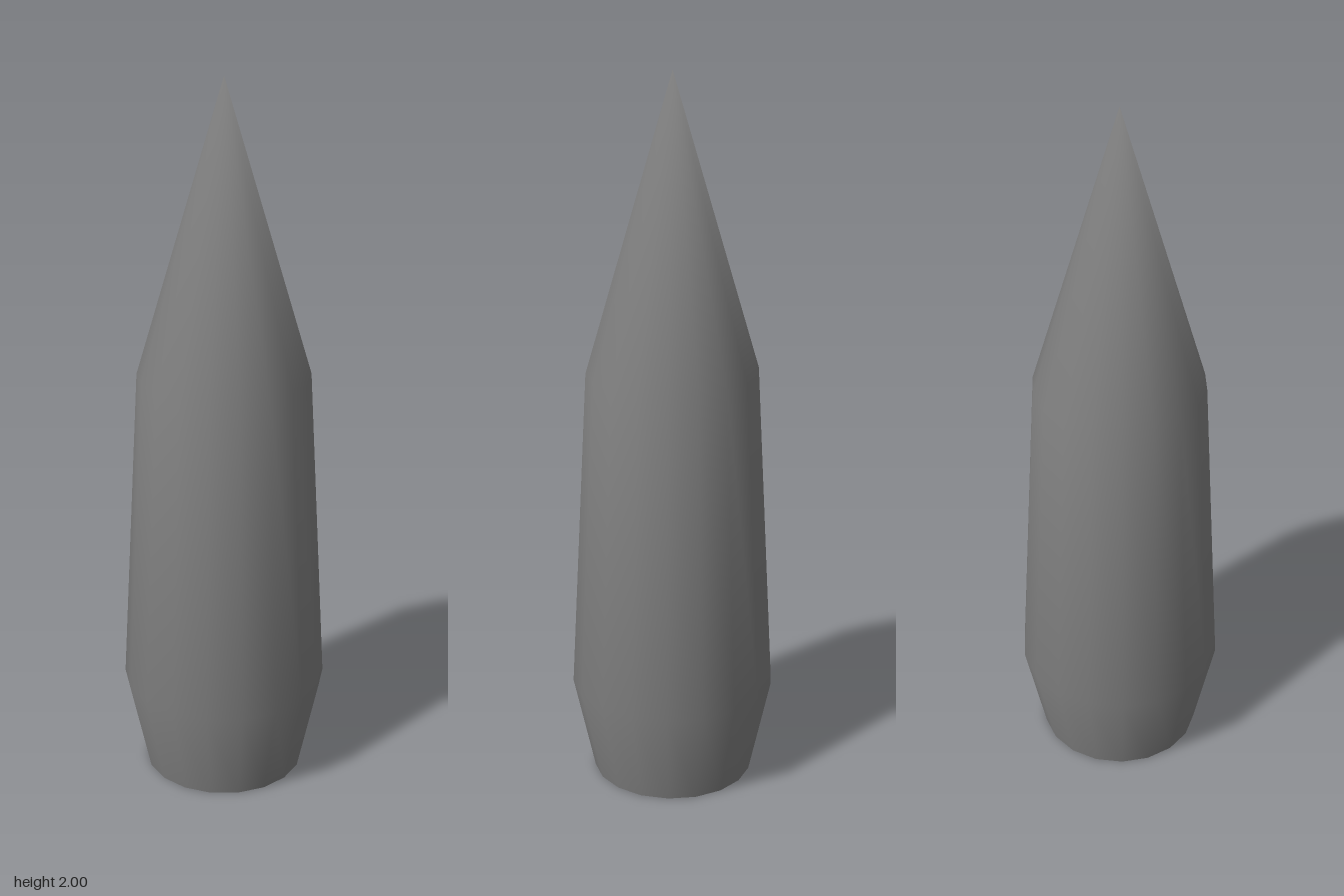
import * as THREE from 'three';

const SIDES = 18;

// Revolve a [radius, height] profile, with equally weighted smooth normals and an upright tip normal
function smoothLathe(profile) {
  const points = profile.map(([r, y]) => new THREE.Vector2(r, y));
  const last = points.length - 1;
  const slopes = points.slice(1).map((p, j) => {
    const d = p.clone().sub(points[j]).normalize();
    return new THREE.Vector2(d.y, -d.x);
  });
  const normals = points.map((p, j) => {
    if (j === last) return new THREE.Vector2(0, 1);
    return slopes[Math.max(j - 1, 0)].clone().add(slopes[j]).normalize();
  });

  const start = Math.PI / 2;
  const lathe = new THREE.LatheGeometry(points, SIDES, start);
  for (let i = 0; i <= SIDES; i++) {
    const angle = start + (i / SIDES) * Math.PI * 2;
    normals.forEach((n, j) => {
      lathe.attributes.normal.setXYZ(i * points.length + j, n.x * Math.sin(angle), n.y, n.x * Math.cos(angle));
    });
  }
  return lathe;
}

export function createModel() {
  const group = new THREE.Group();
  group.name = 'pointedShell';

  // Open-bottomed shell: flared base, gently tapering body, conical tip
  const geometry = smoothLathe([
    [0.225, 0],
    [0.285, 0.275],
    [0.237, 1.19],
    [0, 2],
  ]);
  const material = new THREE.MeshStandardMaterial({ color: 0x808080, side: THREE.DoubleSide });
  const shell = new THREE.Mesh(geometry, material);
  shell.name = 'shell';
  group.add(shell);

  return group;
}
